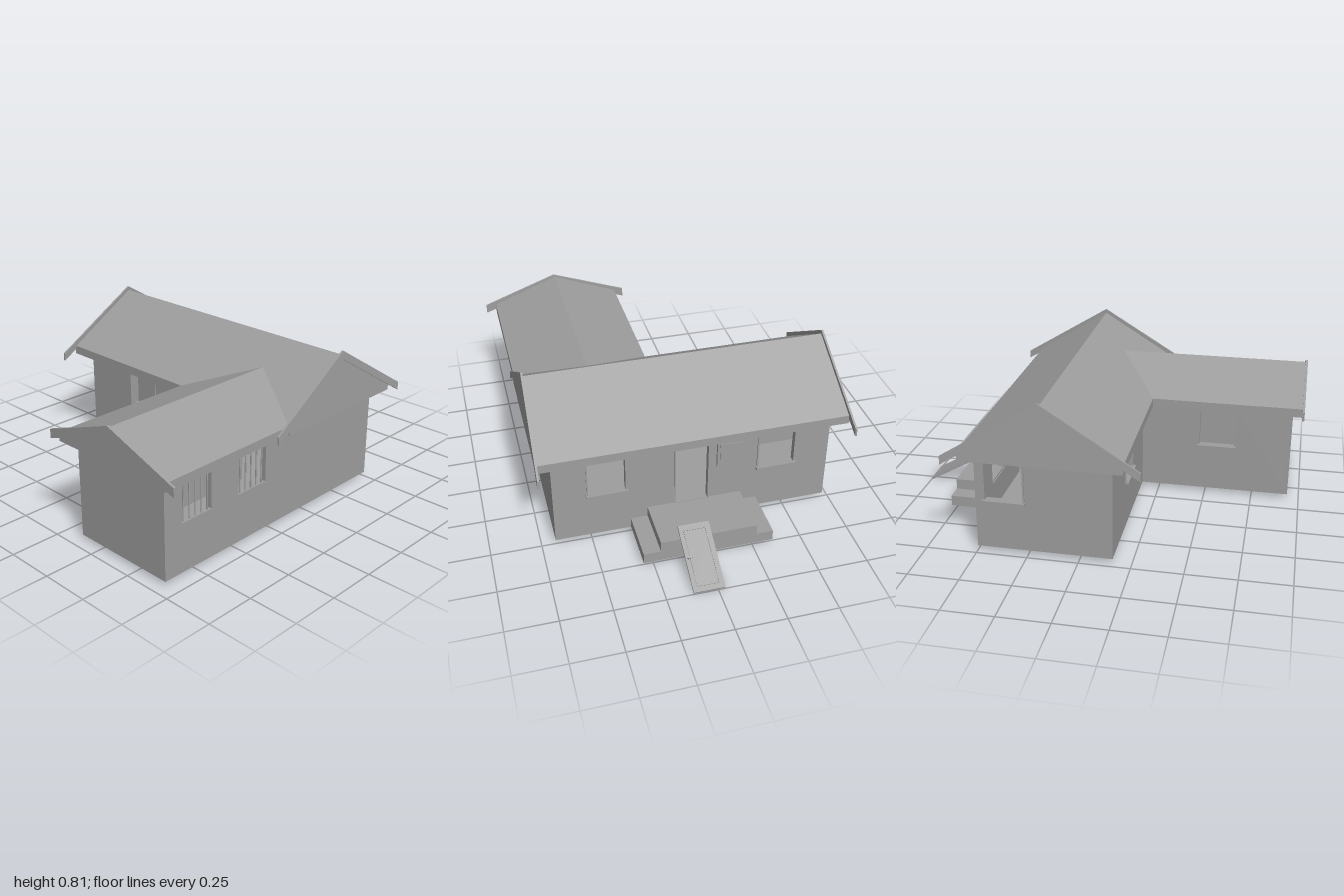
import * as THREE from 'three';

const material = new THREE.MeshStandardMaterial({ color: 0x9e9e9e, flatShading: true });
const BASE = 0.025, EAVE = 0.5, THICK = 0.03;

function add(parent, name, geometry, x = 0, y = 0, z = 0) {
  const mesh = new THREE.Mesh(geometry, material);
  mesh.name = name;
  mesh.position.set(x, y, z);
  parent.add(mesh);
  return mesh;
}

function box(parent, name, x0, x1, y0, y1, z0, z1) {
  return add(parent, name, new THREE.BoxGeometry(x1 - x0, y1 - y0, z1 - z0),
    (x0 + x1) / 2, (y0 + y1) / 2, (z0 + z1) / 2);
}

const polygon = (points) => new THREE.Shape(points.map(([x, y]) => new THREE.Vector2(x, y)));
const rect = (x0, x1, y0, y1) => [[x0, y0], [x1, y0], [x1, y1], [x0, y1]];

function extrude(points, z0, z1, holes = []) {
  const shape = polygon(points);
  for (const h of holes) shape.holes.push(polygon(h.slice().reverse()));
  return new THREE.ExtrudeGeometry(shape, { depth: z1 - z0, bevelEnabled: false }).translate(0, 0, z0);
}

// Wall in a local frame: x along the wall, z outward. Openings: {x, w, y0, y1, kind}
function wall(parent, name, x0, x1, openings = []) {
  const group = new THREE.Group();
  group.name = name;
  parent.add(group);
  const holes = openings.map((o) => rect(o.x - o.w / 2, o.x + o.w / 2, o.y0, o.y1));
  add(group, name + 'Panel', extrude(rect(x0, x1, BASE, EAVE), -THICK, 0, holes));
  openings.forEach((o, i) => {
    const a = o.x - o.w / 2, b = o.x + o.w / 2, t = 0.008;
    if (o.kind === 'bars') {
      for (let k = 0; k < 5; k++) {
        add(group, 'windowBar', new THREE.CylinderGeometry(0.004, 0.004, o.y1 - o.y0, 6),
          a + (o.w * (k + 0.5)) / 5, (o.y0 + o.y1) / 2, -0.01);
      }
      return;
    }
    add(group, o.kind + 'Frame', extrude(holes[i], -0.025, 0.006,
      [rect(a + t, b - t, o.kind === 'door' ? o.y0 + 0.003 : o.y0 + t, o.y1 - t)]));
    if (o.kind === 'window') box(group, 'windowSill', a - 0.004, b + 0.004, o.y0 - 0.004, o.y0 + 0.008, -0.02, 0.02);
  });
  return group;
}

const win = (x, kind = 'window') => ({ x, w: kind === 'bars' ? 0.182 : 0.2, y0: 0.27, y1: 0.486, kind });

// Pentagonal roof body with a flat soffit
const roofProfile = (c, half, peak) =>
  [[c - half, EAVE], [c + half, EAVE], [c + half, 0.545], [c, peak], [c - half, 0.545]];
// Pair of sloping boards meeting at the peak
const boardProfile = (c, half, low, peak, depth) =>
  [[c - half, low], [c, peak - depth], [c + half, low], [c + half, low + depth], [c, peak], [c - half, low + depth]];

// Gable ends lean inward towards the ridge
function lean(geometry) {
  const p = geometry.attributes.position;
  for (let i = 0; i < p.count; i++) {
    p.setZ(i, p.getZ(i) - Math.sign(p.getZ(i)) * 0.045 * (p.getY(i) - EAVE));
  }
  return geometry;
}

export function createModel() {
  const house = new THREE.Group();
  house.name = 'house';

  // Ground slab and the raised floor, level with the porch
  const plan = (e) => [[-0.72 + e, 0.5 - e], [-0.72 + e, -0.16 + e], [0.12 + e, -0.16 + e],
    [0.12 + e, -0.94 + e], [0.68 - e, -0.94 + e], [0.68 - e, 0.5 - e]];
  add(house, 'groundSlab', extrude(plan(0), BASE, BASE + 0.01).rotateX(-Math.PI / 2));
  add(house, 'raisedFloor', extrude(plan(0.01), 0.115, 0.133).rotateX(-Math.PI / 2));

  // Walls
  wall(house, 'frontWall', -0.72, 0.12, [win(-0.31)]).position.z = 0.16;
  wall(house, 'wingFrontWall', 0.12, 0.68).position.z = 0.94;
  const back = wall(house, 'backWall', -0.68, 0.72, [
    win(-0.415), win(0.445), { x: 0.01, w: 0.18, y0: 0.135, y1: 0.485, kind: 'door' },
  ]);
  back.rotation.y = Math.PI;
  back.position.z = -0.5;
  const leftSide = wall(house, 'barredWall', -0.94, 0.5, [win(-0.747, 'bars'), win(-0.39, 'bars')]);
  leftSide.rotation.y = Math.PI / 2;
  leftSide.position.x = 0.68;
  const rightSide = wall(house, 'sideWall', -0.5, 0.16, [win(-0.36)]);
  rightSide.rotation.y = -Math.PI / 2;
  rightSide.position.x = -0.72;
  const wingSide = wall(house, 'wingSideWall', 0.12, 0.94, [win(0.555)]);
  wingSide.rotation.y = -Math.PI / 2;
  wingSide.position.x = 0.12;

  // Inner partitions
  box(house, 'roomPartition', -0.7, -0.335, 0.13, EAVE, -0.16, -0.14);
  box(house, 'wingPartition', 0.39, 0.41, 0.13, EAVE, 0.16, 0.92);

  // Meter box beside the back door
  box(back, 'meterBox', 0.135, 0.28, 0.325, 0.475, 0, 0.014);
  box(back, 'meterBoxDoor', 0.148, 0.267, 0.338, 0.462, 0.014, 0.018);

  // Main roof, extruded along x
  const mainRoof = new THREE.Group();
  mainRoof.name = 'mainRoof';
  mainRoof.rotation.y = -Math.PI / 2;
  mainRoof.position.x = -0.022;
  house.add(mainRoof);
  add(mainRoof, 'mainRoofBody', lean(extrude(roofProfile(-0.167, 0.388, 0.787), -0.772, 0.772)));
  for (const z of [-0.779, 0.769]) {
    add(mainRoof, 'gableBoards', lean(extrude(boardProfile(-0.167, 0.468, 0.478, 0.808, 0.042), z, z + 0.01)));
  }

  // Wing roof
  add(house, 'wingRoofBody', extrude(roofProfile(0.395, 0.35, 0.68), 0.005, 0.985));
  add(house, 'wingGableBoards', extrude(boardProfile(0.397, 0.402, 0.5, 0.69, 0.046), 0.985, 0.996));

  // Back porch steps
  box(house, 'lowerStep', -0.35, 0.3, BASE, 0.08, -0.765, -0.5);
  box(house, 'upperStep', -0.265, 0.215, 0.08, 0.135, -0.765, -0.5);

  // Fallen door resting against the porch
  const door = new THREE.Group();
  door.name = 'fallenDoor';
  door.position.set(0.042, 0.087, -0.853);
  door.rotation.x = 1.06;
  house.add(door);
  box(door, 'doorLeaf', -0.077, 0.077, -0.165, 0.165, -0.005, 0.005);
  for (const s of [-1, 1]) {
    const ring = extrude(rect(-0.056, 0.056, -0.139, 0.139), -0.002, 0.002, [rect(-0.051, 0.051, -0.134, 0.134)]);
    add(door, 'doorMoulding', ring, 0, 0, s * 0.007);
    add(door, 'doorHandleStem', new THREE.CylinderGeometry(0.004, 0.004, 0.016, 8).rotateX(Math.PI / 2), 0.064, 0, s * 0.012);
    box(door, 'doorHandle', 0.044, 0.068, -0.004, 0.004, s * 0.021 - 0.003, s * 0.021 + 0.003);
  }
  return house;
}
